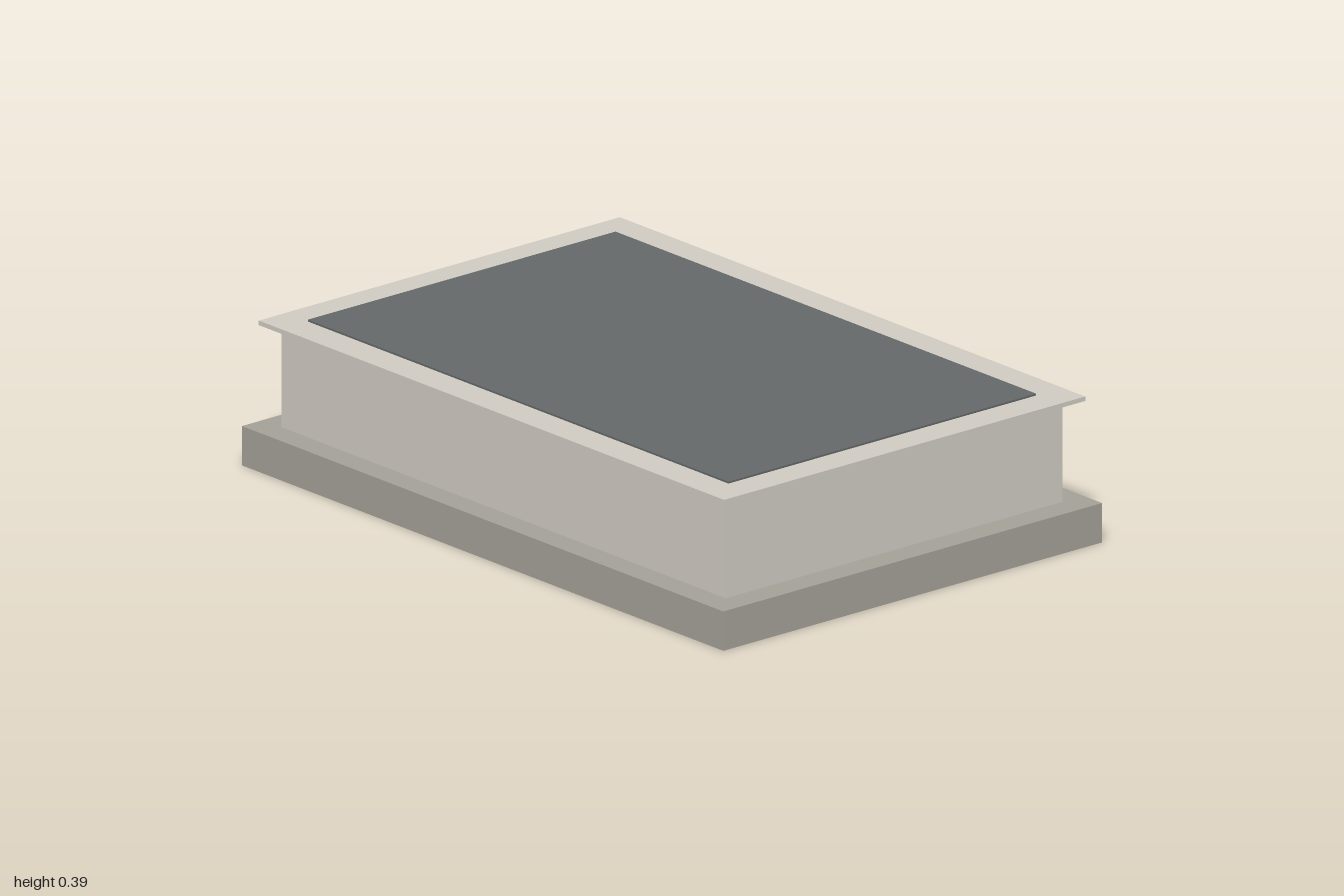
import * as THREE from 'three';

const STONE = 0xd0ccc3, PLINTH = 0xa4a198, SLATE = 0x646868;

// Box standing on height y0, reaching y1
function slab(name, width, depth, y0, y1, color) {
  const mesh = new THREE.Mesh(
    new THREE.BoxGeometry(width, y1 - y0, depth),
    new THREE.MeshStandardMaterial({ color })
  );
  mesh.name = name;
  mesh.position.y = (y0 + y1) / 2;
  return mesh;
}

export function createModel() {
  const model = new THREE.Group();
  model.name = 'stonePlatform';

  model.add(
    slab('plinth', 1.246, 1.837, 0, 0.104, PLINTH),
    slab('body', 1.108, 1.695, 0.104, 0.372, STONE),
    slab('rim', 1.188, 1.776, 0.372, 0.384, STONE),
    slab('topPanel', 1.012, 1.605, 0.384, 0.389, SLATE)
  );

  // The whole block stands slightly turned about the vertical
  model.rotation.y = -0.1466;

  const root = new THREE.Group();
  root.add(model);
  return root;
}
